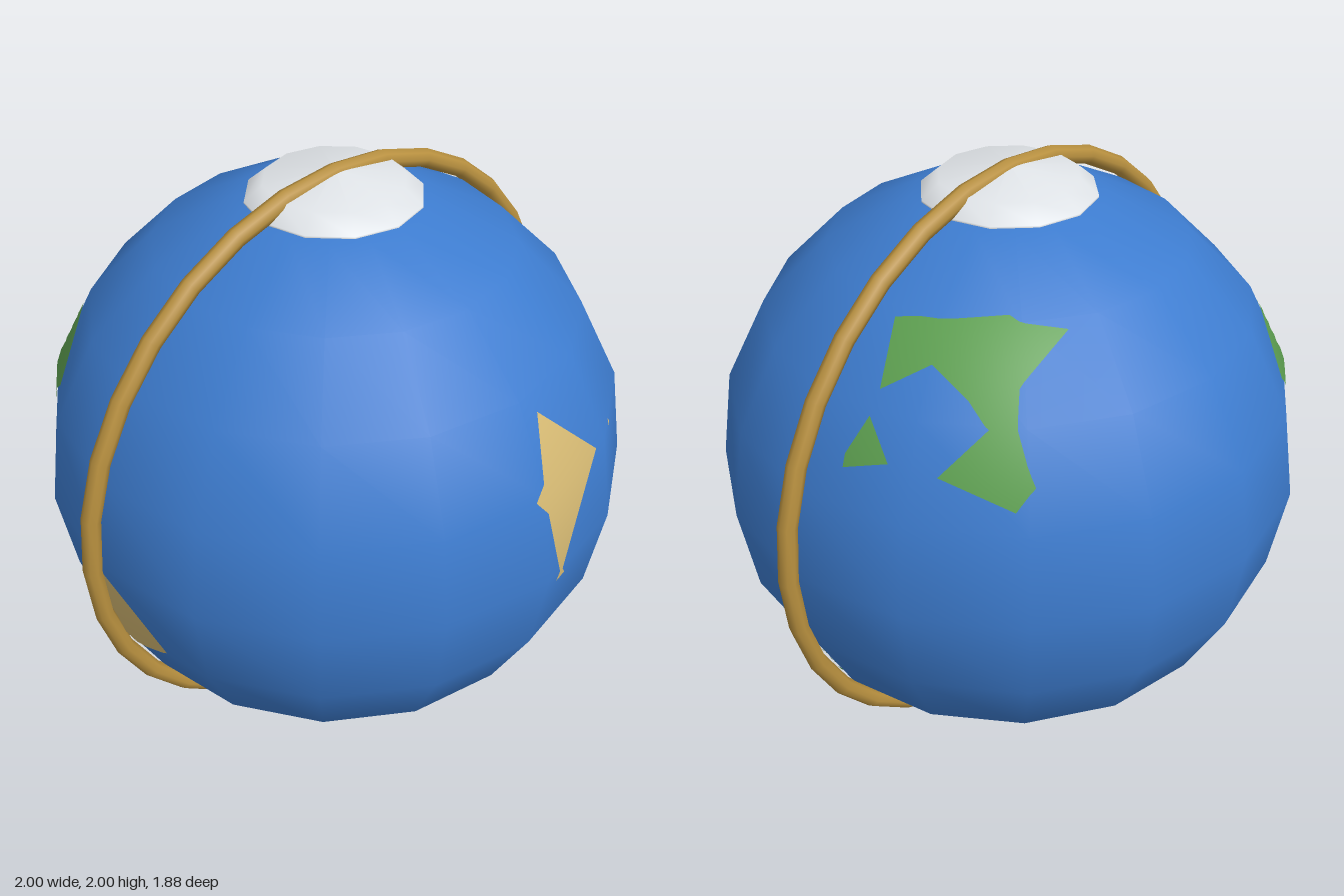
import * as THREE from 'three';

const mat = (name, color) => {
  const m = new THREE.MeshStandardMaterial({ color });
  m.name = name;
  return m;
};

export function createModel() {
  const ocean = mat('ocean blue', 0x3d7ccf);
  const land = mat('land green', 0x5d9f50);
  const sand = mat('sand', 0xd4b872);
  const ice = mat('ice white', 0xe6eaee);
  const brass = mat('brass', 0xb8903f);

  const model = new THREE.Group();
  model.name = 'globe';
  model.position.y = 1;

  const add = (name, geometry, material, parent = model) => {
    const mesh = new THREE.Mesh(geometry, material);
    mesh.name = name;
    parent.add(mesh);
    return mesh;
  };

  // Faceted ball
  const R = 0.94;
  const ball = add('ocean', new THREE.SphereGeometry(R, 16, 10), ocean);
  const caster = new THREE.Raycaster();
  const probe = new THREE.Mesh(ball.geometry, ocean);

  // Split each flat triangle into four
  const split = (tris) => tris.flatMap(([a, b, c]) => {
    const mid = (p, q) => p.clone().add(q).multiplyScalar(0.5);
    const ab = mid(a, b), bc = mid(b, c), ca = mid(c, a);
    return [[a, ab, ca], [ab, b, bc], [ca, bc, c], [ab, bc, ca]];
  });

  // Thin patch: a flat outline, seen from a compass angle, laid onto the ball.
  // Outline heights are measured from the floor.
  function patch(name, material, angle, outline, hole) {
    const toVec = ([u, y]) => new THREE.Vector2(u, y - 1);
    const shape = new THREE.Shape(outline.map(toVec));
    if (hole) shape.holes.push(new THREE.Path(hole.map(toVec)));
    const flat = new THREE.ShapeGeometry(shape).toNonIndexed().attributes.position;
    let tris = [];
    for (let i = 0; i < flat.count; i += 3) {
      tris.push([0, 1, 2].map((k) => new THREE.Vector2(flat.getX(i + k), flat.getY(i + k))));
    }
    for (let i = 0; i < 3; i++) tris = split(tris);

    const up = new THREE.Vector3(0, 1, 0);
    const inward = new THREE.Vector3(0, 0, -1).applyAxisAngle(up, angle);
    const positions = [], normals = [];
    for (const p of tris.flat()) {
      const start = new THREE.Vector3(p.x, p.y, 2).applyAxisAngle(up, angle);
      caster.set(start, inward);
      const hit = caster.intersectObject(probe)[0];
      const depth = Math.sqrt(Math.max(0, R * R - p.lengthSq()));
      const point = hit ? hit.point.clone()
        : new THREE.Vector3(p.x, p.y, depth).applyAxisAngle(up, angle);
      const normal = point.clone().normalize();
      point.addScaledVector(normal, 0.005);
      positions.push(...point.toArray());
      normals.push(...normal.toArray());
    }
    const g = new THREE.BufferGeometry();
    g.setAttribute('position', new THREE.Float32BufferAttribute(positions, 3));
    g.setAttribute('normal', new THREE.Float32BufferAttribute(normals, 3));
    add(name, g, material);
  }

  const left = Math.PI / 2;

  // Deserts
  patch('frontDesert', sand, 0, [[0.06, 1.5], [0.28, 1.29], [0.07, 1.0], [0.095, 0.965],
    [0.05, 0.96], [0.055, 1.0], [0, 1.24], [-0.04, 1.29], [0, 1.33]]);
  patch('desertIslet', sand, 0, [[0.41, 1.3], [0.417, 1.29], [0.41, 1.275], [0.403, 1.29]]);
  patch('sideDesert', sand, -left, [[0, 0.98], [0.187, 0.72], [0.05, 0.63], [-0.02, 0.62],
    [-0.18, 0.72], [-0.115, 0.876]]);

  // Continents
  patch('northContinent', land, left, [[0.08, 1.735], [0.15, 1.75], [0.35, 1.77], [0.48, 1.735],
    [0.47, 1.63], [0.6, 1.41], [0.58, 1.35], [0.38, 1.42], [0.455, 1.545], [0.375, 1.6],
    [0.25, 1.665], [0.145, 1.59]]);
  patch('northIsland', land, left, [[0.15, 1.53], [0.245, 1.43], [0.115, 1.385], [0.11, 1.42]]);
  patch('southContinent', land, left, [[-0.43, 0.625], [-0.27, 0.59], [-0.14, 0.65],
    [-0.065, 0.56], [-0.08, 0.48], [-0.055, 0.39], [-0.06, 0.325], [-0.165, 0.31],
    [-0.33, 0.325], [-0.36, 0.38], [-0.455, 0.56]],
  [[-0.295, 0.5], [-0.255, 0.455], [-0.29, 0.415], [-0.33, 0.45]]);
  patch('frontContinent', land, 0, [[-0.5, 0.42], [-0.2, 0.31], [-0.22, 0.25], [-0.12, 0.215],
    [-0.16, 0.165], [-0.26, 0.15], [-0.5, 0.235]]);
  patch('backContinent', land, Math.PI * 1.25, [[0.006, 1.51], [0.196, 1.32], [0.003, 1.095],
    [-0.194, 1.324]]);

  // Polar ice caps
  const capProfile = [[0.27, 0.9], [0.27, 0.906], [0.215, 0.953], [0, 0.985]]
    .map(([r, y]) => new THREE.Vector2(r, y));
  const capGeometry = new THREE.LatheGeometry(capProfile, 12);
  add('northIceCap', capGeometry, ice);
  add('southIceCap', capGeometry, ice).rotation.x = Math.PI;

  // Meridian ring
  add('meridianRing', new THREE.TorusGeometry(0.97, 0.03, 8, 32), brass).rotation.z = left;

  const root = new THREE.Group();
  root.name = 'model';
  root.add(model);
  return root;
}
